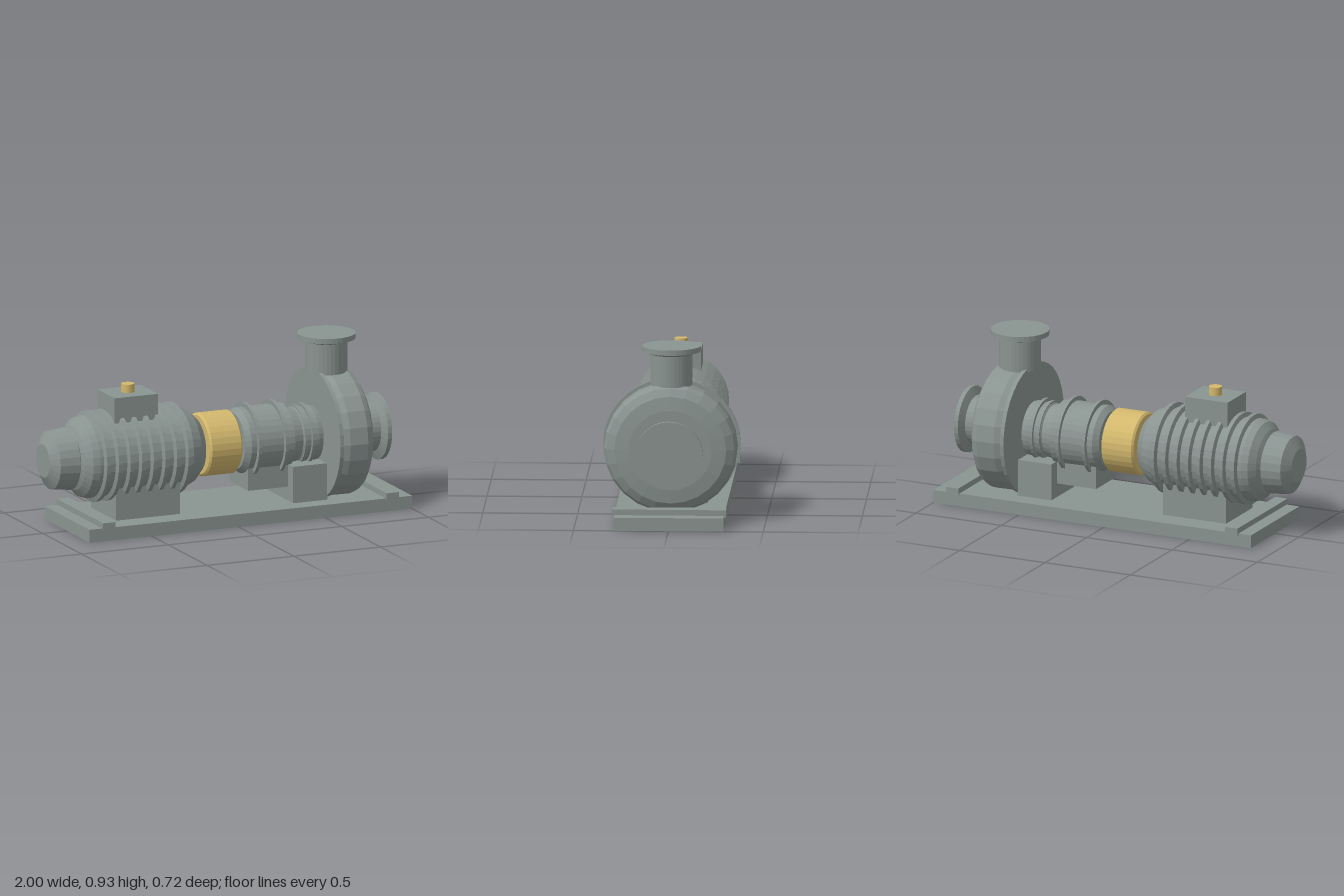
import * as THREE from 'three';

const AXIS_Y = 0.393;

export function createModel() {
  const model = new THREE.Group();
  model.name = 'pumpSet';
  const grey = new THREE.MeshStandardMaterial({ color: 0x8a9491, flatShading: true });
  grey.name = 'machine grey';
  const gold = new THREE.MeshStandardMaterial({ color: 0xd3b86d, flatShading: true });
  gold.name = 'brass yellow';

  function add(name, geometry, material = grey) {
    const mesh = new THREE.Mesh(geometry, material);
    mesh.name = name;
    model.add(mesh);
    return mesh;
  }

  // Box given by its limits in x and y and its half depth in z
  function box(name, x0, x1, y0, y1, halfZ) {
    const g = new THREE.BoxGeometry(x1 - x0, y1 - y0, halfZ * 2);
    g.translate((x0 + x1) / 2, (y0 + y1) / 2, 0);
    return add(name, g);
  }

  // Profile of [position, radius] pairs, closed on its axis
  function lathe(profile, sides) {
    const pts = profile.map(([p, r]) => new THREE.Vector2(r, p));
    pts.unshift(new THREE.Vector2(0, profile[0][0]));
    pts.push(new THREE.Vector2(0, profile[profile.length - 1][0]));
    return new THREE.LatheGeometry(pts, sides);
  }

  // Turned part lying along the shaft line
  function turned(name, profile, material = grey, sides = 32) {
    const g = lathe(profile, sides);
    g.rotateZ(-Math.PI / 2);
    g.translate(0, AXIS_Y, 0);
    return add(name, g, material);
  }

  // Upright turned part
  function upright(name, x, profile, material = grey, sides = 32) {
    const g = lathe(profile, sides);
    g.translate(x, 0, 0);
    return add(name, g, material);
  }

  // Base plate with two cross bars
  box('basePlate', -0.86, 1, 0, 0.07, 0.29);
  for (const x of [-0.75, 0.885]) box('crossBar', x - 0.036, x + 0.036, 0.06, 0.1, 0.3);

  // Motor: fan cover, housing, cooling fins, foot and terminal box
  turned('fanCover', [[-1, 0.09], [-0.965, 0.155], [-0.855, 0.167], [-0.835, 0.13]], grey, 24);
  turned('motorHousing', [
    [-0.845, 0.14], [-0.83, 0.172], [-0.8, 0.21], [-0.765, 0.22], [-0.225, 0.22],
    [-0.17, 0.195], [-0.125, 0.15],
  ]);
  for (let i = 0; i < 8; i++) {
    const x = -0.725 + i * 0.067;
    turned('coolingFin', [[x - 0.021, 0.215], [x - 0.011, 0.243], [x + 0.011, 0.243], [x + 0.021, 0.215]]);
  }
  box('motorFoot', -0.65, -0.28, 0.07, 0.28, 0.16);
  box('terminalBox', -0.635, -0.385, 0.5, 0.72, 0.11);
  upright('cableGland', -0.51, [[0.715, 0.035], [0.765, 0.035]], gold, 20);

  // Coupling guard
  turned('couplingGuard', [[-0.107, 0.158], [-0.097, 0.169], [0.071, 0.169], [0.081, 0.158]], gold);

  // Bearing housing and its collars
  turned('bearingHousing', [
    [0.1, 0.15], [0.128, 0.175], [0.377, 0.178], [0.378, 0.155], [0.44, 0.142],
    [0.445, 0.15], [0.53, 0.15], [0.555, 0.145],
  ]);
  for (const [x, r] of [[0.168, 0.2], [0.322, 0.2], [0.455, 0.158], [0.492, 0.167]]) {
    turned('bearingCollar', [[x - 0.009, r], [x + 0.009, r]]);
  }
  box('bearingFoot', 0.13, 0.36, 0.145, 0.3, 0.12);
  box('pumpSupport', 0.36, 0.557, 0.07, 0.267, 0.187);

  // Pump casing: back flange and rounded bowl, slightly squat
  const casing = [
    turned('casingFlange', [[0.555, 0.362], [0.576, 0.362]], grey, 36),
    turned('casingBowl', [
      [0.57, 0.3], [0.585, 0.335], [0.62, 0.35], [0.72, 0.352], [0.75, 0.337],
      [0.775, 0.295], [0.785, 0.22],
    ], grey, 24),
  ];
  for (const part of casing) {
    part.scale.y = 0.968;
    part.position.y = AXIS_Y * (1 - 0.968);
  }

  // Suction nozzle facing along the shaft and discharge nozzle facing up
  turned('suctionNozzle', [[0.77, 0.131], [0.893, 0.131], [0.912, 0.178], [0.935, 0.178]]);
  upright('dischargeNozzle', 0.634, [[0.72, 0.111], [0.886, 0.111], [0.9, 0.155], [0.928, 0.155]]);

  return model;
}
